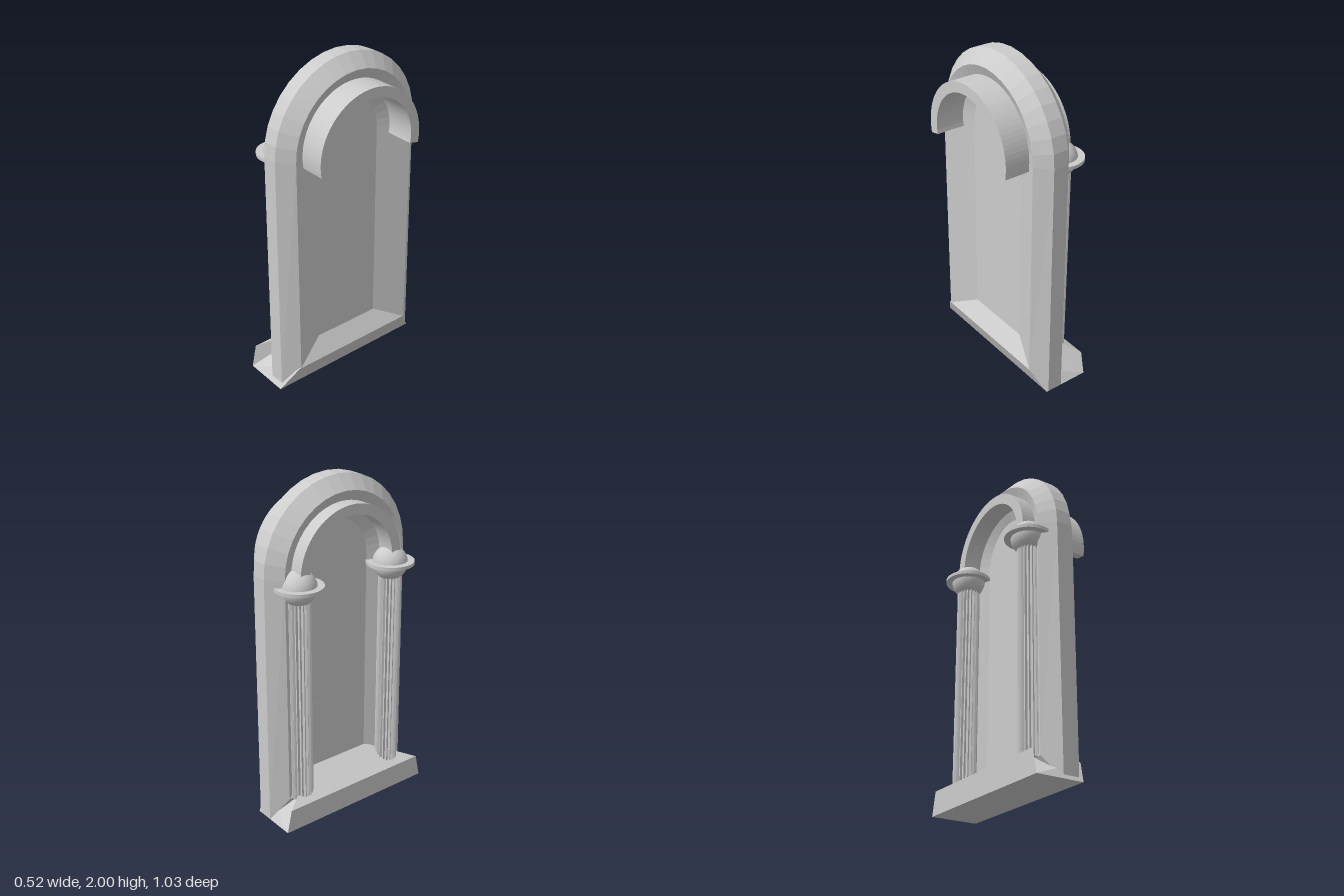
import * as THREE from 'three';

const CY = 1.505;   // height of the arch centre
const CZ = -0.01;   // arch centre in z
const flat = new THREE.MeshStandardMaterial({ color: 0xcccccc, flatShading: true, side: THREE.DoubleSide });
const smooth = new THREE.MeshStandardMaterial({ color: 0xcccccc });

function add(parent, name, geometry, material = flat) {
  const mesh = new THREE.Mesh(geometry, material);
  mesh.name = name;
  parent.add(mesh);
  return mesh;
}

// Skin over rings of equal length; either close the run or cap both ends
function loft(rings, closed) {
  const n = rings[0].length, m = rings.length, index = [];
  for (let i = 0; i < (closed ? m : m - 1); i++) {
    for (let j = 0; j < n; j++) {
      const k = (j + 1) % n, next = ((i + 1) % m) * n;
      const a = i * n + j, b = i * n + k, c = next + k, d = next + j;
      index.push(a, b, c, a, c, d);
    }
  }
  if (!closed) {
    const e = (m - 1) * n;
    for (let k = 1; k < n - 1; k++) index.push(0, k + 1, k, e, e + k, e + k + 1);
  }
  const g = new THREE.BufferGeometry();
  g.setAttribute('position', new THREE.Float32BufferAttribute(rings.flat(2), 3));
  g.setIndex(index);
  const out = g.toNonIndexed();
  out.computeVertexNormals();
  return out;
}

// Extrude a shape drawn in the z-y plane from x0 to x1
function extrudeX(shape, x0, x1, curveSegments) {
  const g = new THREE.ExtrudeGeometry(shape, { depth: x1 - x0, bevelEnabled: false, curveSegments });
  return g.rotateY(Math.PI / 2).translate(x0, 0, CZ);
}

export function createModel() {
  const group = new THREE.Group();

  // Outlines of the frame: half width, arch height, foot half width, foot height
  const ridge = { rz: 0.495, ry: 0.495, fz: 0.505, fy: 0 };
  const edge = { rz: 0.412, ry: 0.415, fz: 0.412, fy: 0.14 };
  const inner = { rz: 0.218, ry: 0.24, fz: 0.218, fy: 0.245 };
  const profile = [
    [-0.04, ridge], [0.055, ridge], [0.13, edge],
    [0.055, inner], [-0.035, inner], [-0.115, edge],
  ];

  // Raised frame: profile swept around the arch and back along the sill
  const N = 18, rings = [];
  rings.push(profile.map(([x, o]) => [x, o.fy, CZ + o.fz]));
  for (let i = 0; i <= N; i++) {
    const t = (i / N) * Math.PI;
    rings.push(profile.map(([x, o]) => [x, CY + o.ry * Math.sin(t), CZ + o.rz * Math.cos(t)]));
  }
  rings.push(profile.map(([x, o]) => [x, o.fy, CZ - o.fz]));
  add(group, 'archFrame', loft(rings, true));

  // Thin panel filling the frame
  const panel = new THREE.Shape();
  panel.moveTo(-inner.fz, inner.fy);
  panel.lineTo(inner.fz, inner.fy);
  for (let i = 0; i <= N; i++) {
    const t = (i / N) * Math.PI;
    panel.lineTo(inner.rz * Math.cos(t), CY + inner.ry * Math.sin(t));
  }
  add(group, 'panel', extrudeX(panel, -0.035, 0.055));

  // Base with sloping top and tapered ends: x, y, half length
  const section = [
    [-0.22, 0, 0.515], [0.068, 0, 0.515], [0.13, 0.14, 0.415],
    [-0.035, 0.245, 0.22], [-0.22, 0.14, 0.485],
  ];
  add(group, 'base', loft([-1, 1].map(s => section.map(([x, y, h]) => [x, y, s * h])), false));

  // Barrel hood passing through the frame
  const hood = new THREE.Shape();
  const tilt = 0.18;
  hood.absarc(0, 1.508, 0.352, -tilt, Math.PI + tilt, false);
  hood.absarc(0, 1.508, 0.29, Math.PI + tilt, -tilt, true);
  add(group, 'hood', extrudeX(hood, -0.175, 0.26, 22));

  // Pair of fluted columns with ball and collar
  for (const s of [1, -1]) {
    const column = new THREE.Group();
    column.name = s > 0 ? 'frontColumn' : 'rearColumn';
    column.position.set(-0.12, 0, CZ + s * 0.325);

    const shaft = new THREE.CylinderGeometry(1, 1, 1.25, 40, 1);
    const p = shaft.attributes.position;
    for (let i = 0; i < p.count; i++) {
      const x = p.getX(i), z = p.getZ(i);
      const step = Math.round(Math.atan2(z, x) / (Math.PI / 20));
      const r = step % 2 ? 0.058 : 0.068;
      p.setX(i, x * r);
      p.setZ(i, z * r);
    }
    add(column, 'shaft', shaft).position.y = 0.765;
    add(column, 'ball', new THREE.SphereGeometry(0.102, 32, 20), smooth).position.y = 1.448;
    add(column, 'collar', new THREE.CylinderGeometry(0.14, 0.14, 0.02, 40), smooth).position.y = 1.452;
    group.add(column);
  }

  return group;
}
